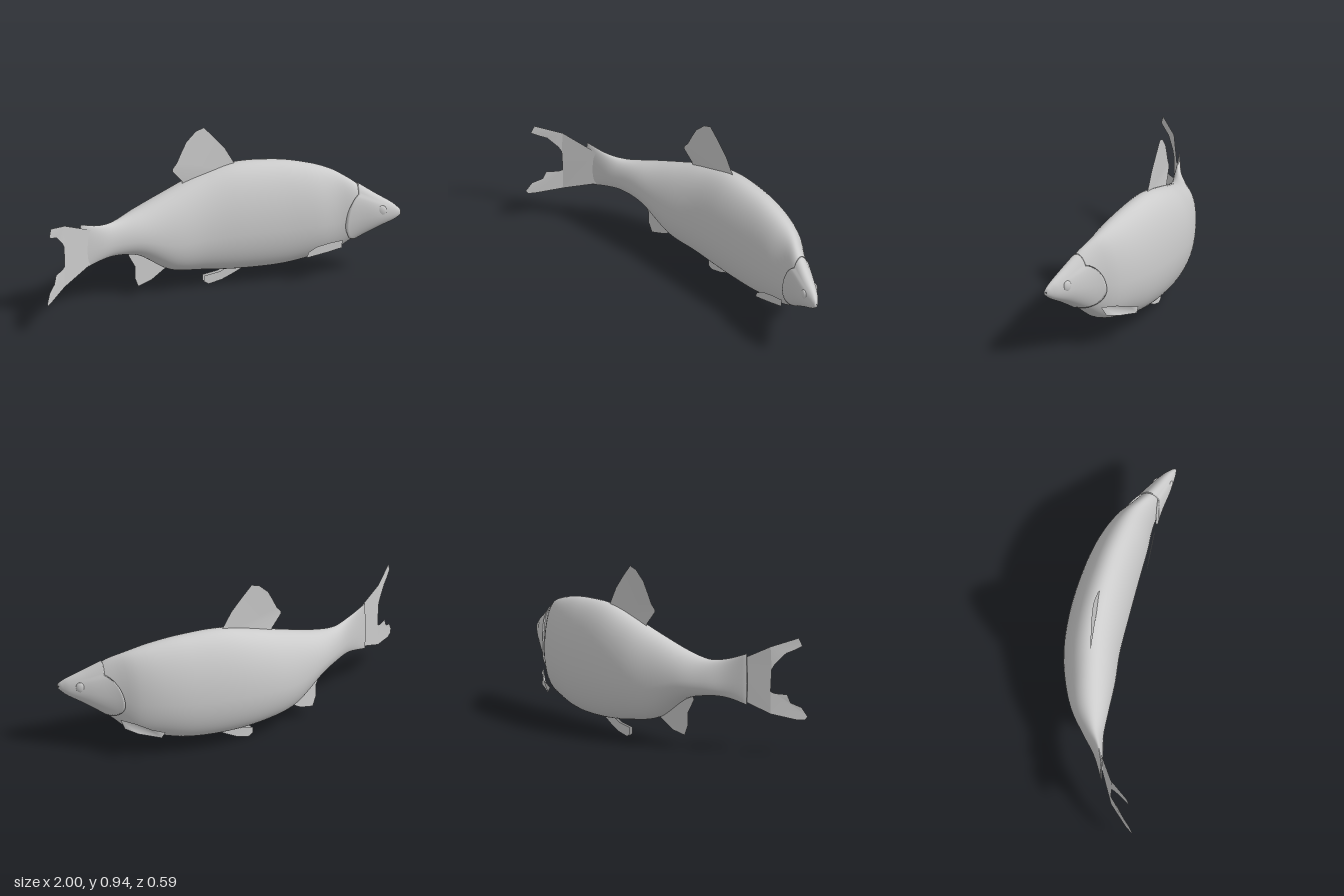
import * as THREE from 'three';

// Stations along the fish: x, top y, bottom y, spine z, half width
const STATIONS = [
  [-0.72, 0.55, 0.27, -0.092, 0.005],
  [-0.6, 0.51, 0.298, -0.11, 0.028],
  [-0.5, 0.498, 0.3, -0.135, 0.055],
  [-0.36, 0.53, 0.268, -0.154, 0.1],
  [-0.18, 0.592, 0.145, -0.156, 0.135],
  [0, 0.655, 0.108, -0.148, 0.152],
  [0.2, 0.705, 0.088, -0.11, 0.161],
  [0.42, 0.703, 0.093, -0.05, 0.155],
  [0.58, 0.676, 0.128, 0.007, 0.14],
  [0.7, 0.637, 0.165, 0.062, 0.11],
  [0.78, 0.59, 0.24, 0.125, 0.08],
  [0.89, 0.513, 0.32, 0.2, 0.058],
  [0.97, 0.46, 0.37, 0.254, 0.031],
  [1, 0.43, 0.4, 0.28, 0.01],
];

// Smooth value of one station column at x
function at(x, col) {
  const S = STATIONS, n = S.length - 1;
  let i = 0;
  while (i < n - 1 && x > S[i + 1][0]) i++;
  const slope = (k) => {
    const a = S[Math.max(k - 1, 0)], b = S[Math.min(k + 1, n)];
    return (b[col] - a[col]) / (b[0] - a[0]);
  };
  const h = S[i + 1][0] - S[i][0];
  const t = THREE.MathUtils.clamp((x - S[i][0]) / h, 0, 1), t2 = t * t, t3 = t2 * t;
  return (2 * t3 - 3 * t2 + 1) * S[i][col] + (t3 - 2 * t2 + t) * h * slope(i)
    + (3 * t2 - 2 * t3) * S[i + 1][col] + (t3 - t2) * h * slope(i + 1);
}
const spineZ = (x) => at(x, 3);

// Point on the skin: k scales the section, e pushes it outward
function skin(x, angle, k = 1, e = 0) {
  const c = Math.cos(angle), s = Math.sin(angle);
  const top = at(x, 1), bottom = at(x, 2), mid = bottom + 0.42 * (top - bottom);
  const wide = Math.sign(c) * Math.pow(Math.abs(c), s < 0 ? 0.82 : 1);
  return [
    x,
    mid + s * (k * (s > 0 ? top - mid : mid - bottom) + e),
    spineZ(x) + wide * (k * at(x, 4) + e),
  ];
}

// Closed tube of rings; point(i, angle) gives each corner
function loft(rings, sides, point) {
  const pos = [], idx = [];
  for (let i = 0; i < rings; i++) {
    for (let j = 0; j < sides; j++) pos.push(...point(i, (j / sides) * Math.PI * 2));
  }
  for (let i = 0; i < rings - 1; i++) {
    for (let j = 0; j < sides; j++) {
      const a = i * sides + j, b = i * sides + ((j + 1) % sides);
      idx.push(a, a + sides, b, b, a + sides, b + sides);
    }
  }
  const g = new THREE.BufferGeometry();
  g.setAttribute('position', new THREE.Float32BufferAttribute(pos, 3));
  g.setIndex(idx);
  g.computeVertexNormals();
  return g;
}

// Thin fin: flat x/y outline with its depth set by a rule
function finGeometry(outline, depth) {
  const g = new THREE.ShapeGeometry(new THREE.Shape(outline.map(([x, y]) => new THREE.Vector2(x, y))));
  const p = g.attributes.position;
  for (let i = 0; i < p.count; i++) p.setZ(i, depth(p.getX(i), p.getY(i)));
  g.computeVertexNormals();
  return g;
}

export function createModel() {
  const fish = new THREE.Group();
  fish.name = 'fish';
  const solid = new THREE.MeshStandardMaterial({ color: 0xcccccc });
  const thin = new THREE.MeshStandardMaterial({ color: 0xcccccc, side: THREE.DoubleSide });
  const add = (name, geometry, material) => {
    const mesh = new THREE.Mesh(geometry, material);
    mesh.name = name;
    fish.add(mesh);
    return mesh;
  };

  // Trunk, shrinking under the gill covers at its front end
  const N = 72;
  add('body', loft(N, 56, (i, a) => {
    const x = -0.72 + 1.62 * THREE.MathUtils.clamp((i - 1) / (N - 3), 0, 1);
    const k = i === 0 || i === N - 1 ? 0 : 1 - 0.12 * THREE.MathUtils.smoothstep(x, 0.78, 0.88);
    return skin(x, a, k);
  }), solid);

  // Head with raised, rounded gill covers at the back
  const H = 30;
  add('head', loft(H, 64, (i, a) => {
    const u = THREE.MathUtils.clamp((i - 1) / (H - 3), 0, 1);
    const s = Math.sin(a);
    const g = Math.max(0, 1 - ((s + 0.15) / 0.85) ** 2);
    const back = 0.81 - 0.07 * g - 0.015 * Math.cos(a);
    const k = i === 0 ? 0.85 : i === H - 1 ? 0 : 1;
    return skin(back + (1 - back) * u, a, k, 0.003 + 0.016 * Math.sqrt(g) * (1 - u) ** 2);
  }), solid);

  // Eyes: flattened domes on each cheek
  for (const [name, x, z, turn] of [['leftEye', 0.907, 0.259, -0.5], ['rightEye', 0.925, 0.181, Math.PI - 0.75]]) {
    const eye = add(name, new THREE.SphereGeometry(1, 24, 16), solid);
    eye.scale.set(0.025, 0.031, 0.012);
    eye.position.set(x, 0.43, z);
    eye.rotation.y = turn;
  }

  // Tail fin, split in two so that it bends with the spine
  const tailZ = (x) => -0.1 + 1.05 * Math.max(0, -0.7 - x) ** 1.95 + 0.1 * THREE.MathUtils.clamp((-0.66 - x) / 0.34, 0, 1) * 0.05
    + 0.23 * Math.max(0, -0.68 - x);
  const tail = new THREE.Group();
  tail.name = 'tailFin';
  fish.add(tail);
  const root = finGeometry([[-0.63, 0.49], [-0.84, 0.595], [-0.845, 0.47], [-0.84, 0.35], [-0.84, 0.227], [-0.63, 0.31]], tailZ);
  const upper = finGeometry([[-0.84, 0.595], [-0.965, 0.645], [-0.98, 0.6], [-0.95, 0.58], [-0.91, 0.56], [-0.86, 0.5], [-0.845, 0.47]], tailZ);
  const lower = finGeometry([[-0.84, 0.35], [-0.86, 0.34], [-0.915, 0.335], [-0.93, 0.29], [-0.975, 0.265], [-1, 0.215], [-0.99, 0.195], [-0.955, 0.197], [-0.84, 0.227]], tailZ);
  [['tailRoot', root], ['upperLobe', upper], ['lowerLobe', lower]].forEach(([name, g]) => {
    tail.add(add(name, g, thin));
  });

  // Dorsal and anal fins on the midline
  add('dorsalFin', finGeometry([
    [-0.08, 0.6], [-0.085, 0.64], [-0.14, 0.71], [-0.14, 0.725], [-0.115, 0.755], [-0.09, 0.81], [-0.06, 0.87],
    [-0.005, 0.925], [0.04, 0.94], [0.1, 0.87], [0.155, 0.8], [0.205, 0.705], [0.2, 0.67],
  ], spineZ), thin);
  add('analFin', finGeometry([
    [-0.4, 0.285], [-0.405, 0.265], [-0.365, 0.19], [-0.365, 0.12], [-0.345, 0.065], [-0.265, 0.085], [-0.18, 0.14], [-0.19, 0.22],
  ], spineZ), thin);

  // Pelvic fins, a close pair under the belly
  for (const side of [1, -1]) {
    add(side > 0 ? 'leftPelvicFin' : 'rightPelvicFin', finGeometry([
      [0.25, 0.085], [0.2, 0.11], [0.12, 0.07], [0.035, 0.055], [0.035, 0.02], [0.06, 0.003], [0.13, 0.02], [0.19, 0.05],
    ], (x, y) => spineZ(x) + 0.006 + side * 0.01), thin);
  }

  // Pectoral fins swept back along the flanks
  add('leftPectoralFin', finGeometry([
    [0.515, 0.178], [0.525, 0.21], [0.57, 0.237], [0.64, 0.252], [0.71, 0.26], [0.705, 0.215], [0.63, 0.198],
  ], (x) => 0.14 + (x - 0.515) * 0.2), thin);
  add('rightPectoralFin', finGeometry([
    [0.77, 0.255], [0.718, 0.25], [0.66, 0.225], [0.59, 0.2], [0.61, 0.17], [0.71, 0.19], [0.755, 0.205],
  ], (x) => -0.14 + 4.4 * (x - 0.575) ** 2), thin);

  return fish;
}
